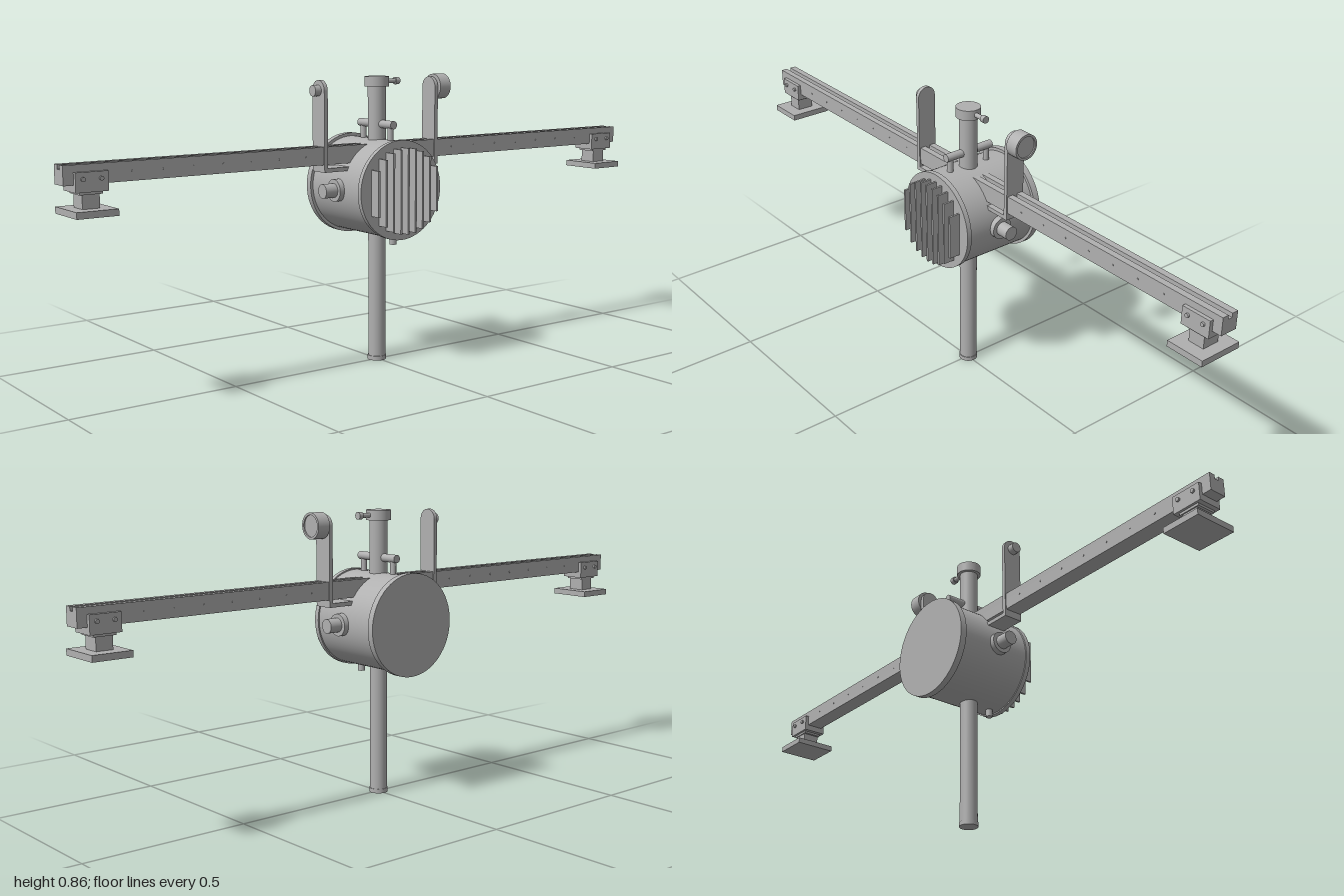
import * as THREE from 'three';

export function createModel() {
  const model = new THREE.Group();
  const metal = new THREE.MeshStandardMaterial({ color: 0xb0b0b0 });
  metal.name = 'grey metal';
  const Z = -0.002; // shared centre plane of beam, column and arms

  const add = (name, geometry, x = 0, y = 0, z = 0) => {
    const mesh = new THREE.Mesh(geometry, metal);
    mesh.name = name;
    mesh.position.set(x, y, z);
    model.add(mesh);
    return mesh;
  };
  const box = (name, w, h, d, x, y, z) => add(name, new THREE.BoxGeometry(w, h, d), x, y, z);
  const rod = (name, r, length, axis, x, y, z, sides = 32) => {
    const g = new THREE.CylinderGeometry(r, r, length, sides);
    if (axis === 'x') g.rotateZ(-Math.PI / 2);
    if (axis === 'z') g.rotateX(Math.PI / 2);
    return add(name, g, x, y, z);
  };

  // Drum with front and rear flanges
  const cy = 0.53;
  rod('drum', 0.143, 0.24, 'z', 0, cy, -0.012, 64);
  rod('frontFlange', 0.147, 0.015, 'z', 0, cy, 0.1095, 64);
  rod('rearFlange', 0.152, 0.02, 'z', 0, cy, -0.141, 64);
  const ring = add('rearCoverRing', new THREE.RingGeometry(0.115, 0.118, 64), 0, cy, -0.1515);
  ring.rotation.y = Math.PI;

  // Cooling fins, cut to the round face
  for (let i = -4; i <= 4; i++) {
    const x = i * 0.0267;
    box('coolingFin', 0.006, 2 * Math.sqrt(0.126 ** 2 - x * x), 0.037, x, cy, 0.1335);
  }

  // Column below and above the drum
  rod('lowerColumn', 0.026, 0.40, 'y', 0, 0.2, Z);
  rod('columnFoot', 0.028, 0.013, 'y', 0, 0.0065, Z);
  rod('upperColumn', 0.027, 0.19, 'y', 0, 0.75, Z);
  rod('columnCap', 0.0365, 0.03, 'y', 0, 0.843, Z);
  rod('capNozzle', 0.007, 0.05, 'x', 0.05, 0.843, Z, 16);
  rod('nozzleTip', 0.011, 0.014, 'x', 0.073, 0.843, Z, 16);
  rod('drainNub', 0.0105, 0.04, 'y', 0, 0.385, 0.077, 20);

  // Carrying handle along the top of the drum
  rod('handleBar', 0.012, 0.164, 'z', 0, 0.718, Z, 24);
  for (const z of [0.064, -0.068]) rod('handlePost', 0.009, 0.05, 'y', 0, 0.69, z, 20);

  // Grooved cross beam
  const section = new THREE.Shape([
    [-0.0265, 0.61], [0.0265, 0.61], [0.0265, 0.662], [0.007, 0.662],
    [0.007, 0.65], [-0.007, 0.65], [-0.007, 0.662], [-0.0265, 0.662],
  ].map(([u, v]) => new THREE.Vector2(u, v)));
  const beam = new THREE.ExtrudeGeometry(section, { depth: 2, bevelEnabled: false });
  beam.translate(0, 0, -1).rotateY(Math.PI / 2);
  add('crossBeam', beam, 0, 0, Z);

  // Upright plate outline: straight sides and a round top
  const plate = new THREE.Shape();
  plate.moveTo(-0.03, 0.59);
  plate.lineTo(0.03, 0.59);
  plate.lineTo(0.03, 0.822);
  plate.absarc(0, 0.822, 0.03, 0, Math.PI);
  plate.closePath();
  const plateGeometry = new THREE.ExtrudeGeometry(plate, { depth: 0.012, bevelEnabled: false, curveSegments: 20 });
  plateGeometry.translate(0, 0, -0.006).rotateY(Math.PI / 2);

  for (const s of [-1, 1]) {
    // Upright arm and its bracket to the drum
    add('uprightArm', plateGeometry, s * 0.204, 0, Z);
    box('armBracket', 0.09, 0.012, 0.06, s * 0.165, 0.594, Z);

    // Side ports
    rod('portCollar', 0.033, 0.03, 'x', s * 0.143, cy, Z);
    rod('sidePort', 0.021, 0.07, 'x', s * 0.163, cy, Z);

    // Clamp, neck and foot pad at the beam end
    const x = s * 0.927;
    box('beamClamp', 0.09, 0.052, 0.075, x, 0.617, Z);
    box('padNeck', 0.048, 0.05, 0.053, x, 0.57, Z);
    box('padCollar', 0.064, 0.008, 0.06, x, 0.588, Z);
    box('footPad', 0.115, 0.018, 0.133, x, 0.538, Z);
    for (const dx of [-0.025, 0.025])
      for (const side of [-1, 1]) rod('clampBolt', 0.006, 0.008, 'z', x + dx, 0.625, Z + side * 0.039, 12);

    // Small rivets along the beam
    for (let i = 0; i < 7; i++)
      for (const side of [-1, 1]) rod('beamRivet', 0.003, 0.002, 'z', s * (0.27 + i * 0.09), 0.636, Z + side * 0.0268, 8);
  }

  // Dial on the left arm, knob on the right arm
  rod('dialHub', 0.018, 0.02, 'x', 0.213, 0.822, Z);
  const dial = [[0, 0.036], [0.031, 0.036], [0.031, 0.04], [0.038, 0.04], [0.038, 0], [0, 0]];
  // Each profile segment is lathed alone so the rims stay sharp
  for (let i = 1; i < dial.length; i++) {
    const pair = [dial[i], dial[i - 1]].map(([r, h]) => new THREE.Vector2(r, h));
    const g = new THREE.LatheGeometry(pair, 40);
    g.rotateZ(-Math.PI / 2);
    add('dial', g, 0.214, 0.822, Z);
  }
  rod('armKnob', 0.016, 0.022, 'x', -0.219, 0.822, Z, 24);

  return model;
}
